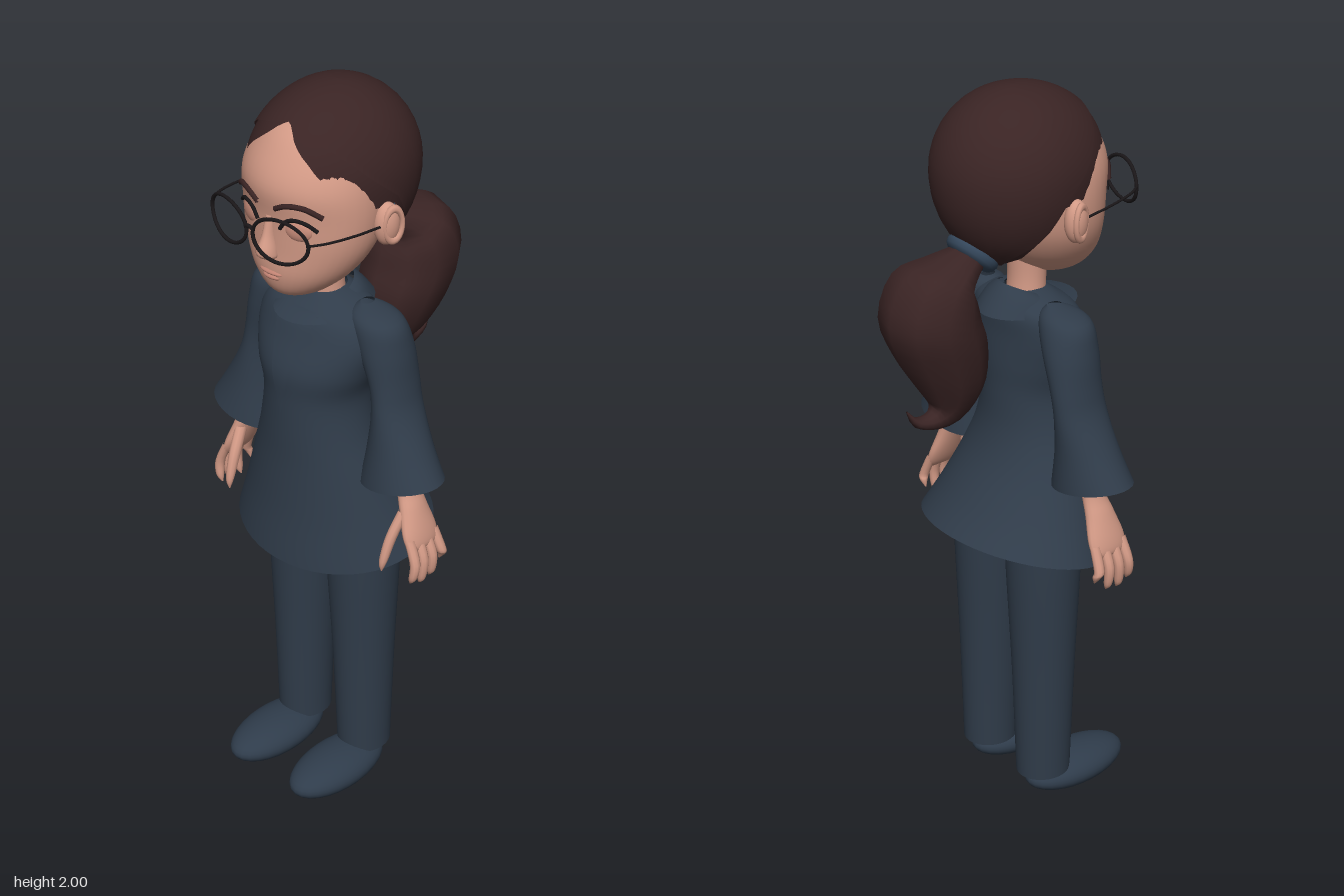
import * as THREE from 'three';

const mat = (name, color, side = THREE.FrontSide) => {
  const m = new THREE.MeshStandardMaterial({ color, side });
  m.name = name;
  return m;
};
const suit = mat('navy suit', 0x303c4a, THREE.DoubleSide);
const shoeMat = mat('navy shoe', 0x2f3c4b);
const tieMat = mat('blue hair tie', 0x34465a);
const skin = mat('skin', 0xd39a86);
const lipMat = mat('lips', 0xc08272);
const eyeMat = mat('eye', 0xc98d7b);
const hairMat = mat('dark brown hair', 0x3a2424, THREE.DoubleSide);
const frameMat = mat('black frame', 0x1b1719);

// Row: [x, y, z, rx, rz, pitch, roll], listed from top to bottom
const smooth = (rows, k) => {
  if (k < 2) return rows;
  const at = i => rows[Math.max(0, Math.min(rows.length - 1, i))];
  const out = [];
  for (let i = 0; i < rows.length - 1; i++) {
    for (let s = 0; s < k; s++) {
      const t = s / k;
      out.push([0, 1, 2, 3, 4, 5, 6].map(c => {
        const [p, a, b, q] = [at(i - 1), at(i), at(i + 1), at(i + 2)].map(r => r[c] || 0);
        return a + 0.5 * t * (b - p + t * (2 * p - 5 * a + 4 * b - q + t * (3 * (a - b) + q - p)));
      }));
    }
  }
  out.push(rows[rows.length - 1]);
  return out;
};

// Closed grid of rings, wound to face outwards
function ringGrid(count, n, point) {
  const pos = [], idx = [];
  for (let i = 0; i < count; i++) {
    for (let j = 0; j < n; j++) {
      pos.push(...point(i, (j / n) * Math.PI * 2));
      if (i === count - 1) continue;
      const a = i * n + j, b = i * n + (j + 1) % n;
      idx.push(a, a + n, b + n, a, b + n, b);
    }
  }
  const g = new THREE.BufferGeometry();
  g.setAttribute('position', new THREE.Float32BufferAttribute(pos, 3));
  g.setIndex(idx);
  g.computeVertexNormals();
  return g;
}

function loft(rows, n = 28, k = 5) {
  const r = smooth(rows, k);
  return ringGrid(r.length, n, (i, t) => {
    const [x, y, z, rx, rz, a = 0, b = 0] = r[i];
    const u = rx * Math.sin(t), v = rz * Math.cos(t);
    return [x + u * Math.cos(b), y + u * Math.sin(b) + v * Math.sin(a), z + v * Math.cos(a)];
  });
}

// Linear lookup in a table of [key, ...values] sorted by rising key
function lookup(table, key) {
  let i = 0;
  while (i < table.length - 2 && table[i + 1][0] < key) i++;
  const [a, b] = [table[i], table[i + 1]];
  const t = Math.max(0, Math.min(1, (key - a[0]) / (b[0] - a[0])));
  return a.map((v, c) => v + (b[c] - v) * t);
}

// Front depth of a lofted part at (x, y)
function frontZ(rows, x, y) {
  const table = smooth(rows, 5).map(r => [r[1], r[2], r[3], r[4]]).reverse();
  const [, z, rx, rz] = lookup(table, y);
  return z + rz * Math.sqrt(Math.max(0, 1 - (x / rx) ** 2));
}

// Hair shell from the crown down to a hairline given as [degrees from front, y]
function hairShell(hairline, k) {
  const m = 16;
  return ringGrid(m + 1, 72, (i, t) => {
    const deg = Math.abs(((t * 180 / Math.PI + 180) % 360) - 180);
    const end = lookup(hairline, deg)[1] - 1.79;
    const ry = end > 0 ? 0.21 * k : 0.25 * k;
    const low = Math.asin(Math.max(-1, Math.min(1, end / ry)));
    const e = Math.PI / 2 + (low - Math.PI / 2) * Math.max(0.002, i / m);
    const c = Math.cos(e), z = Math.cos(t);
    return [0.2 * k * c * Math.sin(t), 1.79 + Math.sin(e) * (e > 0 ? 0.21 : 0.25) * k,
      0.035 + (z > 0 ? 0.25 : 0.212) * k * c * z];
  });
}

const JACKET = [
  [0, 1.47, 0.07, 0.05, 0.05], [0, 1.45, 0.07, 0.105, 0.075], [0, 1.42, 0.08, 0.16, 0.1],
  [0, 1.36, 0.092, 0.18, 0.113], [0, 1.28, 0.105, 0.163, 0.13], [0, 1.2, 0.105, 0.14, 0.13],
  [0, 1.1, 0.102, 0.155, 0.133], [0, 1.0, 0.088, 0.19, 0.148, -0.04],
  [0, 0.88, 0.063, 0.237, 0.183, -0.13], [0, 0.78, 0.043, 0.28, 0.222, -0.23]];
const HEAD = [
  [0, 1.968, 0.06, 0.05, 0.05], [0, 1.93, 0.075, 0.118, 0.125], [0, 1.87, 0.09, 0.16, 0.16],
  [0, 1.8, 0.105, 0.181, 0.173], [0, 1.72, 0.11, 0.185, 0.16], [0, 1.64, 0.12, 0.172, 0.148],
  [0, 1.57, 0.14, 0.135, 0.128], [0, 1.52, 0.16, 0.085, 0.092], [0, 1.497, 0.17, 0.04, 0.05],
  [0, 1.494, 0.17, 0.002, 0.002]];
const FRINGE = [[0, 1.945], [8, 1.935], [15, 1.915], [30, 1.875], [45, 1.82], [60, 1.76], [72, 1.745],
  [90, 1.74], [100, 1.68], [120, 1.6], [150, 1.56], [180, 1.55]];
const CROWN = [[0, 1.948], [30, 1.925], [45, 1.905], [60, 1.87], [90, 1.76], [110, 1.65], [150, 1.56], [180, 1.55]];

export function createModel() {
  const model = new THREE.Group();
  model.name = 'woman in suit';
  const add = (name, geo, material, x = 0, y = 0, z = 0) => {
    const m = new THREE.Mesh(geo, material);
    m.name = name;
    m.position.set(x, y, z);
    model.add(m);
    return m;
  };
  const ball = (name, material, x, y, z, rx, ry, rz) =>
    add(name, new THREE.SphereGeometry(1, 28, 18).scale(rx, ry, rz), material, x, y, z);
  const tube = (name, pts, r, material, closed = false) => add(name, new THREE.TubeGeometry(
    new THREE.CatmullRomCurve3(pts.map(p => new THREE.Vector3(...p)), closed), 40, r, 6, closed), material);

  // Head and hair
  add('head', loft(HEAD, 40), skin);
  add('neck', loft([[0, 1.6, 0.08, 0.055, 0.055], [0, 1.5, 0.08, 0.05, 0.048], [0, 1.42, 0.075, 0.055, 0.05]]), skin);
  add('fringe', hairShell(FRINGE, 0.975), hairMat);
  add('hairCrown', hairShell(CROWN, 1), hairMat);
  add('hairTie', new THREE.TorusGeometry(0.048, 0.023, 12, 28), tieMat, 0.005, 1.597, -0.092).rotation.x = -Math.PI / 4;
  add('ponytail', loft([
    [0, 1.6, -0.09, 0.04, 0.04, -0.8], [0.01, 1.565, -0.165, 0.09, 0.06, -0.7],
    [0.02, 1.53, -0.2, 0.12, 0.105, -0.45], [0.022, 1.45, -0.215, 0.127, 0.128, -0.1],
    [0.02, 1.36, -0.185, 0.115, 0.12, 0.1], [0.01, 1.27, -0.165, 0.085, 0.095, 0],
    [0, 1.21, -0.18, 0.05, 0.06, -0.4], [0, 1.185, -0.225, 0.03, 0.026, -1.3],
    [0, 1.195, -0.28, 0.018, 0.013, -1.9], [0, 1.235, -0.31, 0.002, 0.002, -2.2]], 10, 3), hairMat);

  // Nose and mouth
  add('nose', loft([[0, 1.73, 0.262, 0.012, 0.012], [0, 1.68, 0.268, 0.014, 0.02],
    [0, 1.64, 0.275, 0.024, 0.031], [0, 1.622, 0.272, 0.024, 0.024], [0, 1.612, 0.265, 0.002, 0.002]], 16), skin);
  ball('upperLip', lipMat, 0, 1.575, 0.262, 0.036, 0.007, 0.013);
  ball('lowerLip', lipMat, 0, 1.562, 0.26, 0.028, 0.008, 0.013);

  // Jacket with front panel and collar
  add('jacket', loft(JACKET, 48), suit);
  const panel = new THREE.PlaneGeometry(1, 1, 6, 14);
  const p = panel.attributes.position;
  for (let i = 0; i < p.count; i++) {
    const v = p.getY(i) + 0.5, y = 1.16 + 0.27 * v, x = p.getX(i) * 0.126 * v;
    p.setXYZ(i, x, y, frontZ(JACKET, x, y) + 0.006);
  }
  panel.computeVertexNormals();
  add('frontPanel', panel, suit);
  add('collar', loft([[0, 1.465, 0.06, 0.06, 0.062, -0.4], [0, 1.45, 0.07, 0.09, 0.095, -0.15],
    [0, 1.42, 0.08, 0.11, 0.14]], 28, 3), suit);
  ball('hips', suit, 0, 0.88, 0.05, 0.19, 0.13, 0.1);

  // Glasses bridge
  const lensZ = x => 0.333 - 0.035 * (x / 0.16) ** 2;
  tube('glassesBridge', [[-0.014, 1.72, lensZ(0)], [0, 1.725, 0.335], [0.014, 1.72, lensZ(0)]], 0.005, frameMat);

  for (const [side, s] of [['left', 1], ['right', -1]]) {
    const limb = (name, rows, material, n, k) => add(side + name,
      loft(rows.map(([x, y, z, rx, rz, a = 0, b = 0]) => [x * s, y, z, rx, rz, a, b * s]), n, k), material);

    // Ear, eye and brow
    ball(side + 'Ear', skin, s * 0.192, 1.698, 0.068, 0.028, 0.056, 0.034).rotation.y = s * -0.3;
    add(side + 'EarRim', new THREE.TorusGeometry(0.03, 0.008, 8, 24).scale(0.8, 1.4, 1), skin, s * 0.212, 1.7, 0.066)
      .rotation.y = s * 1.25;
    ball(side + 'Eye', eyeMat, s * 0.077, 1.706, frontZ(HEAD, 0.077, 1.706) - 0.008, 0.036, 0.029, 0.013).rotation.y = s * 0.35;
    const onFace = (x, y) => [s * x, y, frontZ(HEAD, x, y) + 0.003];
    tube(side + 'Brow', [[0.028, 1.758], [0.06, 1.773], [0.1, 1.773], [0.135, 1.75]].map(q => onFace(...q)), 0.007, hairMat);
    tube(side + 'Lashes', [[0.036, 1.705], [0.055, 1.73], [0.08, 1.737], [0.105, 1.729], [0.124, 1.712]]
      .map(q => onFace(...q)), 0.005, frameMat);

    // Glasses lens rim and temple
    const rim = Array.from({ length: 20 }, (_, i) => {
      const t = i / 20 * Math.PI * 2, x = 0.084 + 0.074 * Math.cos(t);
      return [s * x, 1.709 + 0.056 * Math.sin(t), lensZ(x)];
    });
    tube(side + 'LensRim', rim, 0.0048, frameMat, true);
    tube(side + 'Temple', [[s * 0.158, 1.715, 0.3], [s * 0.182, 1.716, 0.26], [s * 0.197, 1.71, 0.18],
      [s * 0.198, 1.7, 0.09]], 0.0035, frameMat);

    // Flared sleeve
    limb('Sleeve', [
      [0.125, 1.458, 0.06, 0.015, 0.02], [0.158, 1.43, 0.065, 0.068, 0.06], [0.185, 1.36, 0.06, 0.066, 0.074],
      [0.211, 1.27, 0.057, 0.052, 0.074], [0.225, 1.2, 0.06, 0.054, 0.075],
      [0.243, 1.1, 0.068, 0.083, 0.08, 0, 0.1], [0.258, 1.007, 0.075, 0.118, 0.092, 0, 0.19]], suit);

    // Forearm, palm and fingers
    limb('Hand', [[0.25, 1.12, 0.065, 0.032, 0.034], [0.268, 1.0, 0.066, 0.026, 0.032],
      [0.29, 0.94, 0.07, 0.026, 0.042], [0.313, 0.88, 0.072, 0.023, 0.056],
      [0.326, 0.845, 0.072, 0.016, 0.054], [0.33, 0.83, 0.072, 0.003, 0.04]], skin, 20);
    [[0.115, 0.125, 0.748], [0.086, 0.092, 0.735], [0.057, 0.056, 0.74], [0.029, 0.017, 0.772]].forEach(([z0, z1, tip], i) =>
      limb('Finger' + (i + 1), [[0.32, 0.87, z0, 0.013, 0.014], [0.345, 0.81, (z0 + z1) / 2, 0.013, 0.014],
        [0.343, tip + 0.02, z1, 0.011, 0.011], [0.335, tip, z1, 0.002, 0.002]], skin, 10, 4));
    limb('Thumb', [[0.287, 0.935, 0.095, 0.015, 0.018], [0.277, 0.87, 0.132, 0.014, 0.018],
      [0.272, 0.805, 0.157, 0.011, 0.012], [0.27, 0.775, 0.162, 0.002, 0.002]], skin, 10, 4);

    // Trouser leg and shoe
    limb('TrouserLeg', [[0.1, 0.9, 0.05, 0.095, 0.1], [0.103, 0.75, 0.05, 0.098, 0.1],
      [0.107, 0.4, 0.05, 0.08, 0.085], [0.109, 0.085, 0.05, 0.068, 0.075]], suit);
    limb('TrouserEnd', [[0.109, 0.086, 0.05, 0.068, 0.075], [0.109, 0.085, 0.05, 0.001, 0.001]], suit, 28, 1);
    ball(side + 'Shoe', shoeMat, s * 0.111, 0.054, 0.16, 0.083, 0.053, 0.161);
  }
  return model;
}
